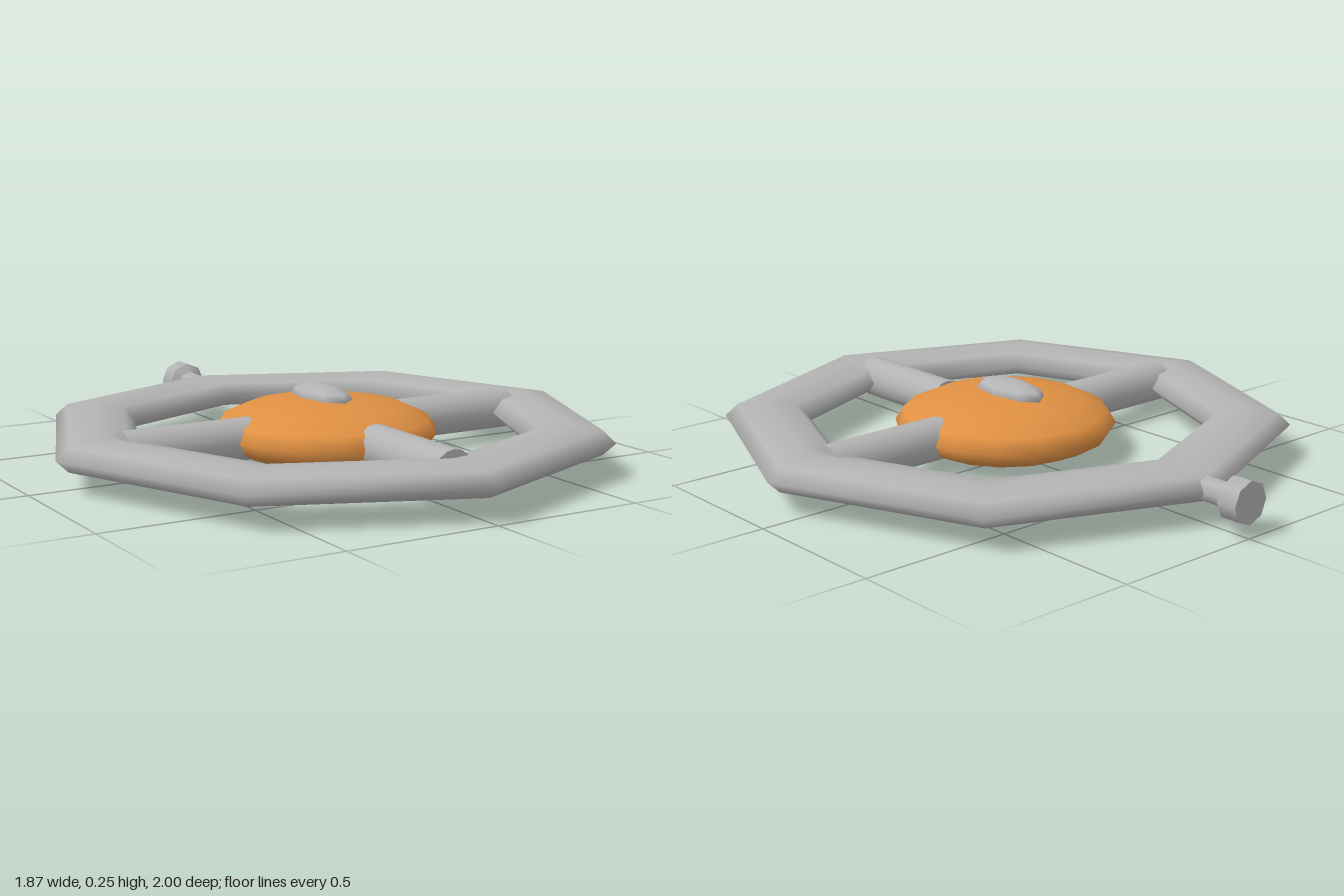
import * as THREE from 'three';

const CY = 0.11, CZ = 0.063; // wheel centre

export function createModel() {
  const grey = new THREE.MeshStandardMaterial({ color: 0xb3b3b3 });
  grey.name = 'grey metal';
  const orange = new THREE.MeshStandardMaterial({ color: 0xdf9043 });
  orange.name = 'orange';

  const model = new THREE.Group();
  const add = (name, geometry, material, x, y, z) => {
    const mesh = new THREE.Mesh(geometry, material);
    mesh.name = name;
    mesh.position.set(x, y, z);
    model.add(mesh);
    return mesh;
  };

  // Flattened eight-sided outer ring
  const ring = new THREE.TorusGeometry(0.795, 0.14, 8, 8);
  ring.rotateX(-Math.PI / 2).scale(1, 0.39, 1);
  add('outerRing', ring, grey, 0, CY, CZ);

  // Squashed central hub
  const hub = new THREE.SphereGeometry(0.365, 16, 8).scale(1, 0.3, 1);
  add('hub', hub, orange, 0, CY, CZ);

  // Small elongated dome on top of the hub
  const dome = new THREE.SphereGeometry(1, 8, 6).scale(0.075, 0.04, 0.15);
  add('dome', dome, grey, 0, 0.215, 0.04);

  // Three spokes, running from inside the hub into the ring
  const spokes = [
    ['leftSpoke', Math.PI / 2, 0.2],
    ['rightSpoke', -Math.PI / 2, 0.2],
    ['frontSpoke', 0, 0.3],
  ];
  for (const [name, turn, start] of spokes) {
    const length = 0.72 - start;
    const spoke = new THREE.CylinderGeometry(0.069, 0.069, length, 16);
    spoke.rotateX(Math.PI / 2).translate(0, 0, start + length / 2);
    add(name, spoke, grey, 0, CY, CZ).rotation.y = turn;
  }

  // Rear knob: narrow neck, tapered collar and flat head
  const neck = new THREE.CylinderGeometry(0.04, 0.04, 0.1, 8);
  neck.rotateX(Math.PI / 2);
  add('rearNeck', neck, grey, 0, CY, -0.87);

  const collar = new THREE.CylinderGeometry(0.068, 0.04, 0.02, 8, 1, true);
  collar.rotateX(-Math.PI / 2);
  add('rearCollar', collar, grey, 0, CY, -0.922);

  const head = new THREE.CylinderGeometry(0.068, 0.068, 0.068, 8);
  head.rotateX(-Math.PI / 2);
  add('rearHead', head, grey, 0, CY, -0.966);

  return model;
}
